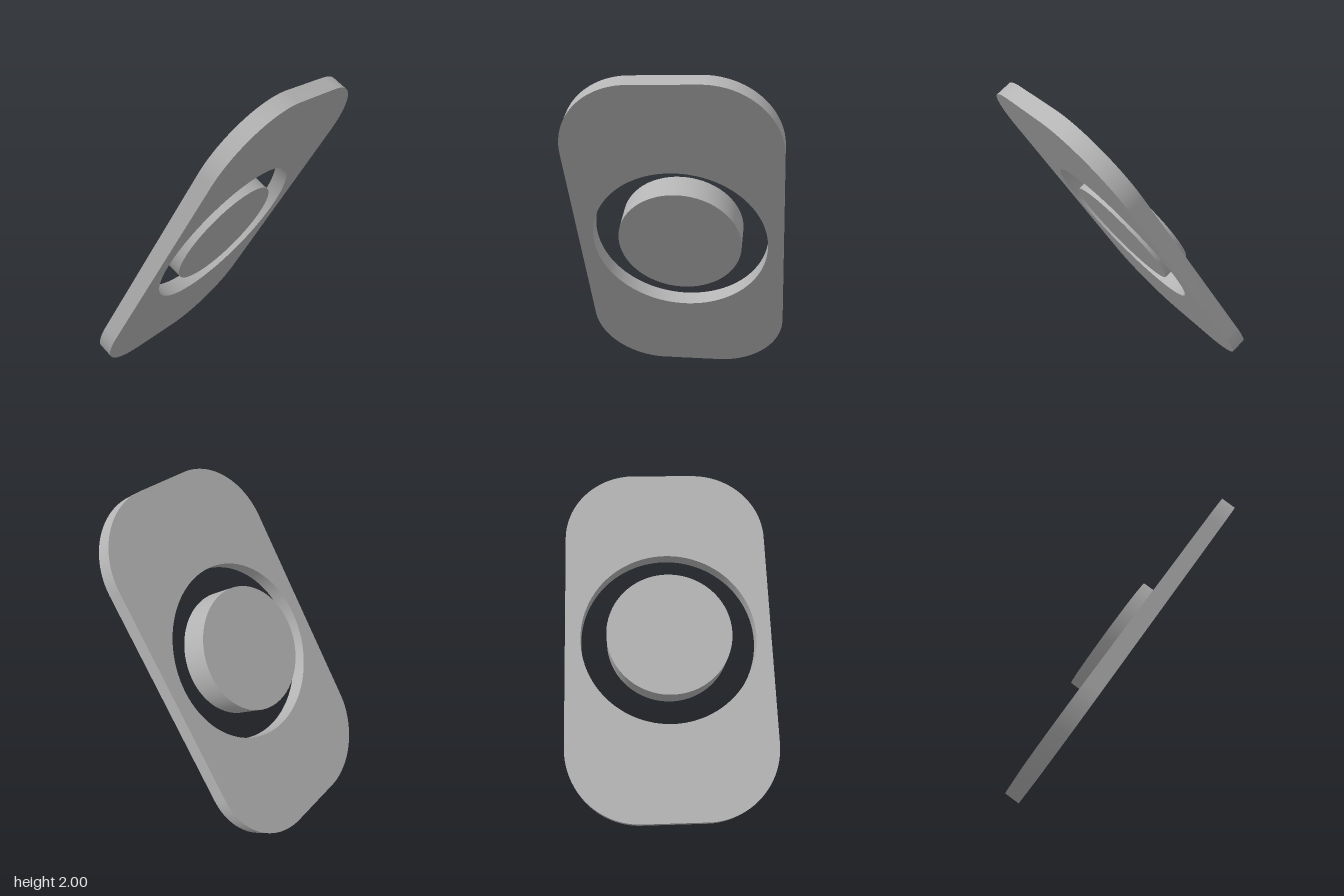
import * as THREE from 'three';
import { toCreasedNormals } from 'three/addons/utils/BufferGeometryUtils.js';

const LENGTH = 2.307, WIDTH = 1.315, THICK = 0.101, CORNER = 0.46;
const HOLE_R = 0.56, DISC_R = 0.395, DISC_THICK = 0.182;
const TILT = THREE.MathUtils.degToRad(32.52);

// Extrude a flat outline from the underside of the plate upward
function slab(name, shape, depth, material) {
  const geo = new THREE.ExtrudeGeometry(shape, { depth, bevelEnabled: false, curveSegments: 48 });
  geo.translate(0, 0, -THICK / 2);
  const mesh = new THREE.Mesh(toCreasedNormals(geo, 0.6), material);
  mesh.name = name;
  return mesh;
}

function circle(path, r) {
  path.absarc(0, 0, r, 0, Math.PI * 2, false);
  return path;
}

function roundedRect(w, h, r) {
  const x = w / 2 - r, y = h / 2 - r, q = Math.PI / 2;
  const s = new THREE.Shape();
  [[x, y], [-x, y], [-x, -y], [x, -y]].forEach(([cx, cy], i) =>
    s.absarc(cx, cy, r, i * q, (i + 1) * q, false));
  s.closePath();
  return s;
}

export function createModel() {
  const grey = new THREE.MeshStandardMaterial({ color: 0xb4b4b4 });
  grey.name = 'grey';

  // Rounded plate with a round opening
  const outline = roundedRect(WIDTH, LENGTH, CORNER);
  outline.holes.push(circle(new THREE.Path(), HOLE_R));

  // Thicker disc floating in the opening, flush with the underside
  const disc = circle(new THREE.Shape(), DISC_R);

  // Lean both parts: width along z, length rising toward +x
  const tilted = new THREE.Group();
  tilted.name = 'tiltedAssembly';
  tilted.add(slab('plate', outline, THICK, grey), slab('centreDisc', disc, DISC_THICK, grey));
  const s = Math.sin(TILT), c = Math.cos(TILT);
  tilted.quaternion.setFromRotationMatrix(new THREE.Matrix4().makeBasis(
    new THREE.Vector3(0, 0, 1), new THREE.Vector3(s, c, 0), new THREE.Vector3(-c, s, 0)));
  tilted.position.y = 1;

  const model = new THREE.Group();
  model.name = 'model';
  model.add(tilted);
  return model;
}
